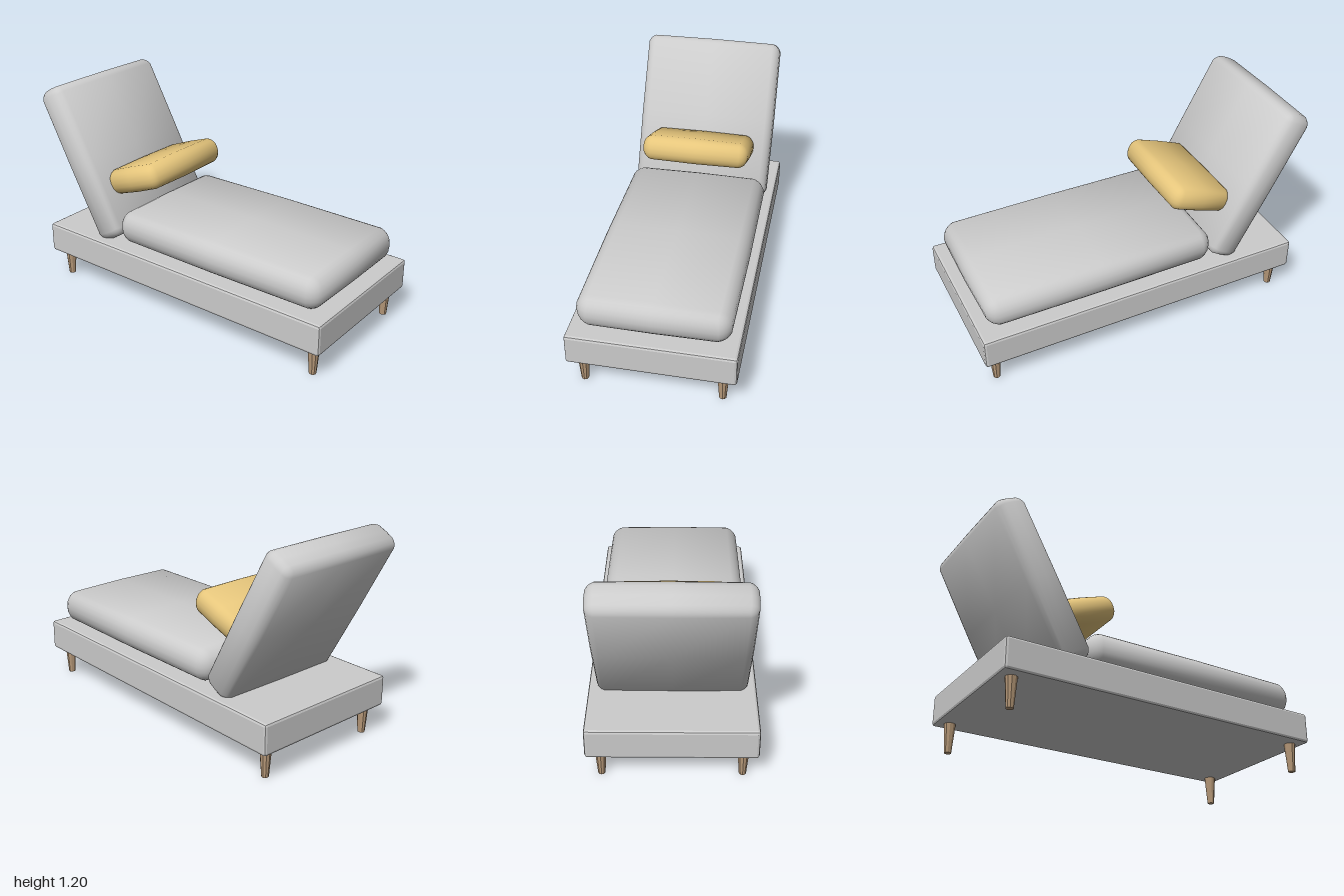
import * as THREE from 'three';
import { RoundedBoxGeometry } from 'three/addons/geometries/RoundedBoxGeometry.js';

const fabric = new THREE.MeshStandardMaterial({ color: 0xcccccc });
const frame = new THREE.MeshStandardMaterial({ color: 0xcccccc, flatShading: true });
const mustard = new THREE.MeshStandardMaterial({ color: 0xe6c67c });
const wood = new THREE.MeshStandardMaterial({ color: 0xb89a7a, flatShading: true });

// Soft cushion: a box with rounded edges and a slight crown at the middle of each face
function cushionGeometry(w, h, d, r) {
  const n = 6;
  const geo = new THREE.BoxGeometry(2, 2, 2, n, n, n);
  const pos = geo.attributes.position;
  const nor = geo.attributes.normal;
  const core = [w / 2 - r, h / 2 - r, d / 2 - r];
  const sign = (v) => (Math.abs(v) < 1e-5 ? 0 : Math.sign(v));
  const p = new THREE.Vector3();
  for (let i = 0; i < pos.count; i++) {
    p.fromBufferAttribute(pos, i);
    const s = [sign(p.x), sign(p.y), sign(p.z)];
    p.normalize();
    nor.setXYZ(i, p.x, p.y, p.z);
    pos.setXYZ(i, s[0] * core[0] + p.x * r, s[1] * core[1] + p.y * r, s[2] * core[2] + p.z * r);
  }
  return geo;
}

export function createModel() {
  const model = new THREE.Group();
  model.name = 'chaiseLounge';

  function add(name, geometry, material, x, y, z, tilt = 0) {
    const mesh = new THREE.Mesh(geometry, material);
    mesh.name = name;
    mesh.position.set(x, y, z);
    mesh.rotation.x = tilt;
    model.add(mesh);
  }

  // Platform base with bevelled edges
  add('base', new RoundedBoxGeometry(0.91, 0.178, 1.925, 1, 0.015), frame, 0, 0.253, 0.0375);

  // Four tapered legs
  const legGeo = new THREE.CylinderGeometry(0.033, 0.02, 0.17, 10);
  for (const [side, x] of [['Left', 0.375], ['Right', -0.375]]) {
    add('front' + side + 'Leg', legGeo, wood, x, 0.085, 0.925);
    add('back' + side + 'Leg', legGeo, wood, x, 0.085, -0.85);
  }

  // Seat cushion, reclined backrest and small pillow
  add('seatCushion', cushionGeometry(0.83, 0.21, 1.37, 0.1), fabric, 0, 0.449, 0.265);
  add('backrest', cushionGeometry(0.83, 0.95, 0.2, 0.07), fabric, 0, 0.76, -0.705, -0.5);
  add('pillow', cushionGeometry(0.635, 0.16, 0.4, 0.075), mustard, 0, 0.71, -0.39, -0.36);

  return model;
}
